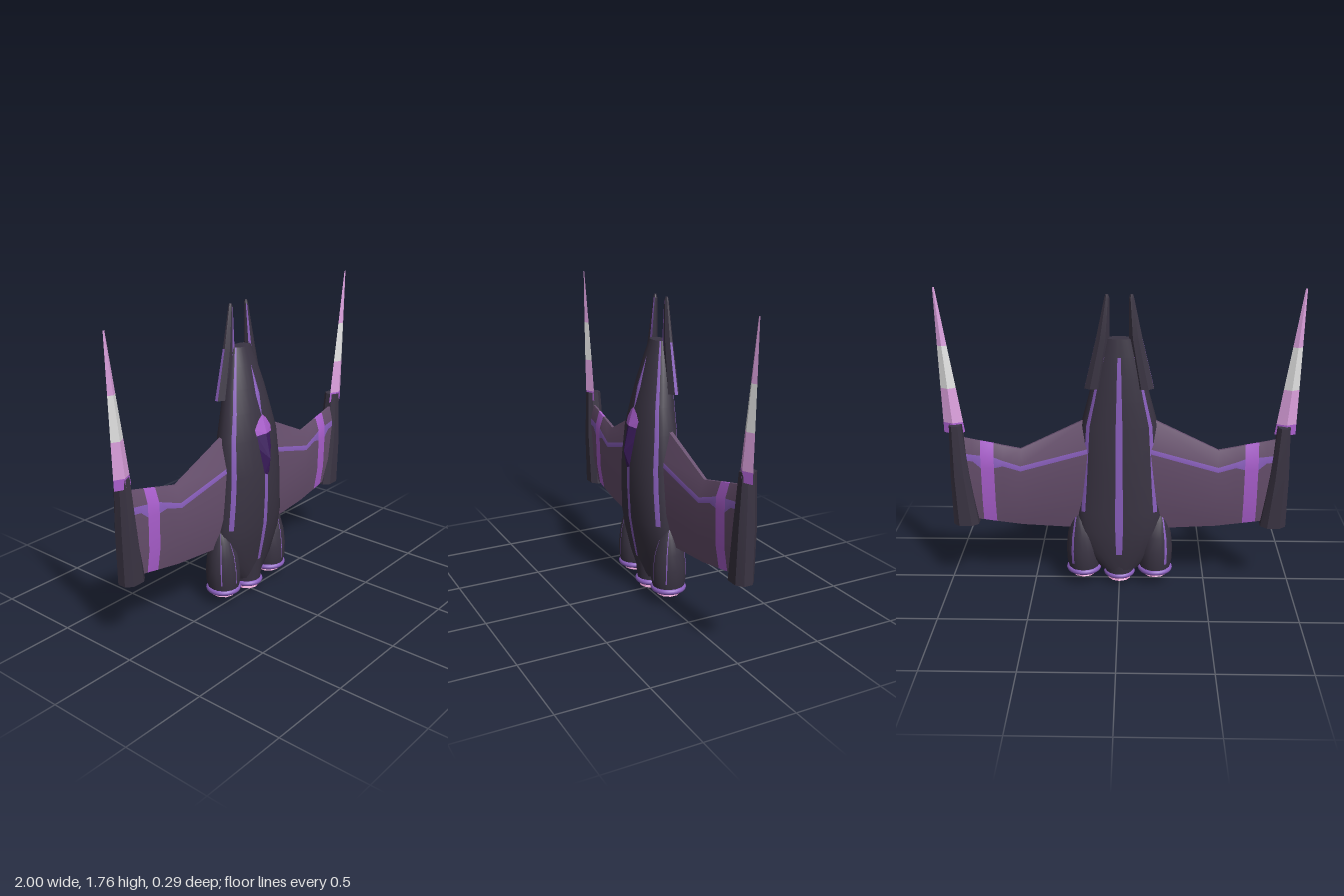
import * as THREE from 'three';
import { toCreasedNormals } from 'three/addons/utils/BufferGeometryUtils.js';
import { ConvexGeometry } from 'three/addons/geometries/ConvexGeometry.js';

const mat = (name, color) => Object.assign(new THREE.MeshStandardMaterial({ color }), { name });
const hull = mat('dark hull', 0x3a3443);
const stripe = mat('violet stripe', 0x8a5fbe);
const wingSkin = mat('mauve wing', 0x68506e);
const orchid = mat('bright orchid', 0xac60d0);
const glass = mat('deep purple canopy', 0x3c1c5e);
const pink = mat('pink', 0xdea2e0);
const pale = mat('pale grey', 0xe4e4e4);
const rose = mat('rose glow', 0xd08cbc);

const V = (x, y, z) => new THREE.Vector3(x, y, z);
const rad = THREE.MathUtils.degToRad;

function add(group, name, geometry, material) {
  const m = new THREE.Mesh(geometry, material);
  m.name = name;
  group.add(m);
  return m;
}

// Skin a list of closed rings, cap both ends, pick a material per quad
function loft(rings, materials, pick = () => 0, crease = 0.6) {
  const n = rings[0].length;
  const buckets = materials.map(() => []);
  for (let i = 0; i < rings.length - 1; i++) {
    for (let j = 0; j < n; j++) {
      const k = (j + 1) % n;
      const [a, b, c, d] = [rings[i][j], rings[i + 1][j], rings[i + 1][k], rings[i][k]];
      buckets[pick(i, j)].push([a, b, c], [a, c, d]);
    }
  }
  [0, rings.length - 1].forEach((r, end) => {
    const ring = rings[r];
    const mid = ring.reduce((s, p) => s.add(p), V(0, 0, 0)).divideScalar(n);
    const m = end ? pick(r - 1, 0) : pick(0, 0);
    ring.forEach((p, j) => {
      const q = ring[(j + 1) % n];
      buckets[m].push(end ? [mid, q, p] : [mid, p, q]);
    });
  });
  // turn the faces outward whichever side is being built
  let volume = 0;
  buckets.flat().forEach(([a, b, c]) => { volume += a.dot(b.clone().cross(c)); });
  const g = new THREE.BufferGeometry();
  const pts = [];
  buckets.forEach((tris, m) => {
    g.addGroup(pts.length, tris.length * 3, m);
    tris.forEach(([a, b, c]) => pts.push(a, ...(volume < 0 ? [c, b] : [b, c])));
  });
  g.setFromPoints(pts);
  return toCreasedNormals(g, crease);
}

// Fuselage: y, half width, front z, back z
function buildFuselage(group) {
  const stations = [
    [0.11, 0.11, 0.04, -0.11], [0.22, 0.2, 0.065, -0.13], [0.36, 0.25, 0.092, -0.14],
    [0.48, 0.255, 0.112, -0.14], [0.65, 0.24, 0.12, -0.142], [0.8, 0.23, 0.12, -0.14],
    [1.0, 0.215, 0.1, -0.137], [1.15, 0.175, 0.07, -0.132], [1.28, 0.143, 0.038, -0.127],
    [1.4, 0.105, 0.003, -0.118], [1.5, 0.072, -0.03, -0.108],
  ];
  const angles = [0, 13, 24, 34, 50, 65, 78, 86.5, 93.5, 102, 115, 130, 146, 156, 167, 180,
    195, 211, 220, 235, 250, 265, 275, 290, 305, 320, 329, 345];
  const rings = stations.map(([y, w, f, b]) => {
    const mid = f * 0.48 + b * 0.52;
    return angles.map((a) => {
      const s = Math.sin(rad(a));
      const z = s >= 0 ? mid + (f - mid) * s : mid - (mid - b) * Math.pow(-s, 0.8);
      return V(w * Math.cos(rad(a)), y, z);
    });
  });
  // stripe columns by angle: [first row, last row]
  const rows = { 24: [3, 9], 146: [3, 9], 86.5: [1, 4], 265: [1, 8], 211: [3, 8], 320: [3, 8] };
  const pick = (i, j) => {
    const r = rows[angles[j]];
    return r && i >= r[0] && i <= r[1] ? 1 : 0;
  };
  add(group, 'fuselage', loft(rings, [hull, stripe], pick), [hull, stripe]);

  // Canopy, the bright hood above it and the thin dart on the nose
  add(group, 'canopy', new ConvexGeometry([
    V(-0.056, 1.02, 0.094), V(0.056, 1.02, 0.094), V(0, 1.03, 0.113), V(-0.05, 0.94, 0.109),
    V(0.05, 0.94, 0.109), V(0, 0.88, 0.147), V(-0.02, 0.79, 0.122), V(0.02, 0.79, 0.122),
    V(0, 0.78, 0.126), V(0, 0.9, 0.09),
  ]), glass);
  add(group, 'canopyHood', new ConvexGeometry([
    V(-0.068, 1.055, 0.089), V(0.068, 1.055, 0.089), V(-0.064, 1.02, 0.098), V(0.064, 1.02, 0.098),
    V(0, 1.025, 0.118), V(-0.032, 1.105, 0.086), V(0.032, 1.105, 0.086), V(0, 1.13, 0.086), V(0, 1.06, 0.05),
  ]), orchid);
  add(group, 'noseDart', new ConvexGeometry([
    V(0, 1.11, 0.086), V(-0.016, 1.24, 0.053), V(0.016, 1.24, 0.053), V(0, 1.41, 0.003),
    V(0, 1.24, 0.057), V(0, 1.24, 0.03),
  ]), stripe);
}

// Engine ring and glowing double cone
function buildExhaust(group, x, y, r, z) {
  const ring = add(group, 'exhaustRing', new THREE.TorusGeometry(r, 0.017, 10, 32), stripe);
  ring.rotation.x = Math.PI / 2;
  ring.position.set(x, y, z);
  const profile = [[0, -0.062], [0.03, -0.056], [0.068, -0.038], [0.045, -0.015], [0.045, 0.02]]
    .map((p) => new THREE.Vector2(...p));
  const cone = toCreasedNormals(new THREE.LatheGeometry(profile, 10), 0.1);
  add(group, 'exhaustCone', cone, rose).position.set(x, y, z);
}

function buildNacelle(group, s) {
  const stations = [[0.1, 0.21, 0.088], [0.15, 0.21, 0.098], [0.23, 0.213, 0.098], [0.32, 0.215, 0.087],
    [0.41, 0.22, 0.06], [0.46, 0.225, 0.035], [0.5, 0.23, 0.01]];
  const angles = [0, 17, 33, 37, 52, 70, 88.3, 91.7, 110, 130, 155, 180, 205, 230, 250, 270, 287, 302, 312, 335];
  const rings = stations.map(([y, cx, r]) => angles.map((a) =>
    V(s * (cx + r * Math.cos(rad(a))), y, -0.03 + Math.min(r * 1.02, 0.1) * Math.sin(rad(a)))));
  const pick = (i, j) => (i >= 1 && i <= 4 && [33, 88.3, 302].includes(angles[j]) ? 1 : 0);
  add(group, 'engineNacelle', loft(rings, [hull, stripe], pick), [hull, stripe]);
  buildExhaust(group, s * 0.21, 0.098, 0.085, -0.03);
}

// Wing: x, leading y, stripe top, stripe bottom, trailing y, mid z, half thickness
function buildWing(group, s) {
  const stations = [
    [0.15, 1.045, 0.872, 0.845, 0.355, -0.04, 0.06], [0.56, 0.85, 0.757, 0.727, 0.382, -0.055, 0.043],
    [0.66, 0.872, 0.79, 0.757, 0.397, -0.06, 0.038], [0.71, 0.884, 0.81, 0.745, 0.404, -0.062, 0.035],
    [0.785, 0.9, 0.82, 0.745, 0.416, -0.066, 0.031], [0.83, 0.91, 0.825, 0.785, 0.422, -0.068, 0.028],
    [0.91, 0.928, 0.835, 0.795, 0.43, -0.07, 0.025],
  ];
  const rings = stations.map(([x, le, s1, s2, te, z, t]) => {
    const side = [[te, 0.2], [te * 0.6 + s2 * 0.4, 0.85], [s2, 1], [s1, 0.95], [le, 0.2]];
    return [
      ...side.map(([y, k]) => V(s * x, y, z + t * k)),
      ...side.reverse().map(([y, k]) => V(s * x, y, z - t * k)),
    ];
  });
  const mats = [wingSkin, stripe, orchid];
  const pick = (i, j) => (i === 3 ? 2 : j === 2 || j === 6 ? 1 : 0);
  add(group, 'wing', loft(rings, mats, pick, 0.35), mats);
}

// Wing tip pod (eight sided) with a banded spike above it
function buildTip(group, s) {
  const oct = [[1, 0.45], [0.5, 1], [-0.5, 1], [-1, 0.45], [-1, -0.45], [-0.5, -1], [0.5, -1], [1, -0.45]];
  const pod = [[0.4, 0.883, 0.072, 0.056], [0.7, 0.905, 0.053, 0.055], [1.0, 0.917, 0.034, 0.042]]
    .map(([y, cx, w, d]) => oct.map(([a, b]) => V(s * (cx + a * w), y, -0.08 + b * d)));
  add(group, 'wingTipPod', loft(pod, [hull], () => 0, 0.2), hull);

  const spike = [[0.95, 0.867, 0.985, 0.028], [1.01, 0.876, 0.986, 0.027], [1.21, 0.905, 0.99, 0.022],
    [1.45, 0.941, 0.994, 0.014], [1.77, 0.988, 0.999, 0.002]]
    .map(([y, xi, xo, d]) => {
      const c = (xi + xo) / 2;
      return [V(s * xo, y, -0.064), V(s * c, y, -0.064 + d), V(s * xi, y, -0.064), V(s * c, y, -0.064 - d)];
    });
  const mats = [orchid, pink, pale];
  add(group, 'wingSpike', loft(spike, mats, (i) => [0, 1, 2, 1][i], 0.1), mats);
}

// Nose prong: y, inner x, outer x, front z, back z
function buildProng(group, s) {
  const rings = [[1.22, 0.09, 0.192, -0.05, -0.115], [1.5, 0.052, 0.126, -0.06, -0.106],
    [1.72, 0.052, 0.08, -0.074, -0.096], [1.74, 0.058, 0.074, -0.08, -0.092]]
    .map(([y, xi, xo, f, b]) => {
      const w = xo - xi;
      const m = (f + b) / 2;
      const e = (f - b) * 0.15;
      return [[xo, m - e], [xo, m + e], [xi + w * 0.65, f], [xi + w * 0.35, f], [xi + w * 0.1, f - 0.003],
        [xi, m], [xi + w * 0.3, b], [xi + w * 0.7, b]].map(([x, z]) => V(s * x, y, z));
    });
  const pick = (i, j) => ((j === 3 && i < 2) || (j === 0 && i === 0) ? 1 : 0);
  add(group, 'noseProng', loft(rings, [hull, stripe], pick, 0.2), [hull, stripe]);
}

export function createModel() {
  const model = new THREE.Group();
  model.name = 'starfighter';
  buildFuselage(model);
  for (const s of [1, -1]) {
    const half = new THREE.Group();
    half.name = s > 0 ? 'leftSide' : 'rightSide';
    buildWing(half, s);
    buildTip(half, s);
    buildNacelle(half, s);
    buildProng(half, s);
    model.add(half);
  }
  // Centre engine
  add(model, 'centreEngine', new THREE.CylinderGeometry(0.095, 0.08, 0.16, 32), hull).position.set(0, 0.145, -0.028);
  buildExhaust(model, 0, 0.068, 0.075, -0.025);
  return model;
}
